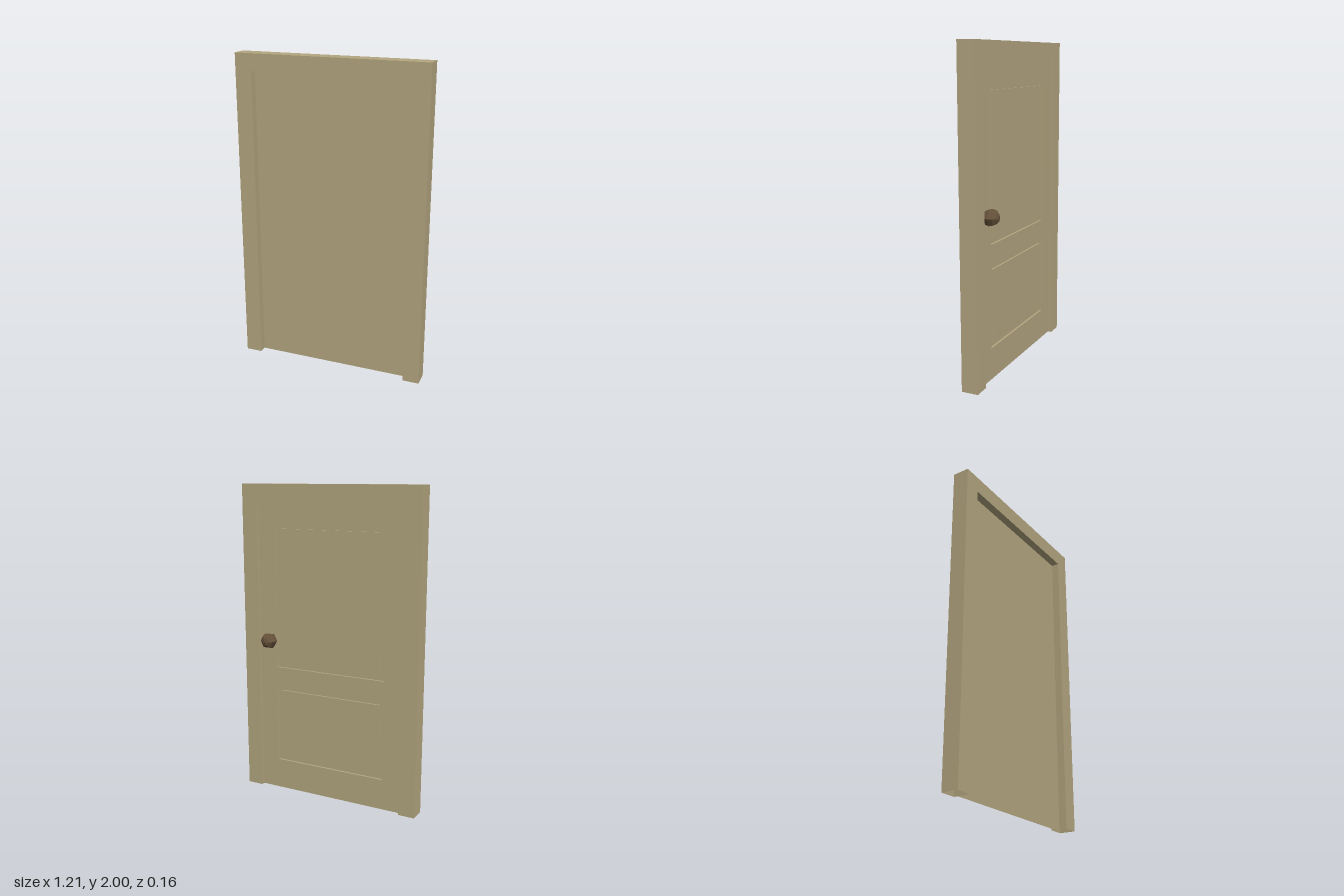
import * as THREE from 'three';

const wood = new THREE.MeshStandardMaterial({ color: 0xb4a680, side: THREE.DoubleSide, flatShading: true });
const knobMat = new THREE.MeshStandardMaterial({ color: 0x66523a, flatShading: true });

// Removes the faces lying on the floor, leaving the underside open
function openBottom(geometry) {
  const geo = geometry.index ? geometry.toNonIndexed() : geometry;
  const p = geo.attributes.position;
  const kept = [];
  for (let i = 0; i < p.count; i += 3) {
    const onFloor = [0, 1, 2].every((k) => Math.abs(p.getY(i + k)) < 1e-5);
    if (!onFloor) for (let k = 0; k < 3; k++) kept.push(p.getX(i + k), p.getY(i + k), p.getZ(i + k));
  }
  const out = new THREE.BufferGeometry();
  out.setAttribute('position', new THREE.Float32BufferAttribute(kept, 3));
  out.computeVertexNormals();
  return out;
}

const points = (list) => list.map(([x, y]) => new THREE.Vector2(x, y));
const rect = (w, y0, y1) => points([[-w, y0], [w, y0], [w, y1], [-w, y1]]);

function extrude(shape, z0, z1) {
  const geo = new THREE.ExtrudeGeometry(shape, { depth: z1 - z0, bevelEnabled: false });
  return geo.translate(0, 0, z0);
}

export function createModel() {
  const group = new THREE.Group();
  const add = (name, geometry, material = wood) => {
    const mesh = new THREE.Mesh(geometry, material);
    mesh.name = name;
    group.add(mesh);
    return mesh;
  };

  const frameW = 0.605, doorW = 0.5, doorTop = 1.895;
  const doorBack = 0, grooveZ = 0.014, doorFront = 0.03;

  // Frame: two jambs joined by the lintel
  const frame = new THREE.Shape(points([
    [-frameW, 0], [-doorW, 0], [-doorW, doorTop], [doorW, doorTop],
    [doorW, 0], [frameW, 0], [frameW, 2], [-frameW, 2],
  ]));
  add('doorFrame', openBottom(extrude(frame, -0.025, 0.08)));

  // Plain front of the door leaf
  add('doorFront', openBottom(extrude(new THREE.Shape(rect(doorW, 0, doorTop)), grooveZ, doorFront)));

  // Back of the leaf: openings with a raised field inside each, leaving a groove
  const back = new THREE.Shape(rect(doorW, 0, doorTop));
  const panelW = 0.378, groove = 0.028;
  const panels = [['upperPanel', 0.834, 1.755], ['lowerPanel', 0.197, 0.708]];
  for (const [name, y0, y1] of panels) {
    back.holes.push(new THREE.Path(rect(panelW, y0, y1)));
    const field = new THREE.Shape(rect(panelW - groove, y0 + groove, y1 - groove));
    add(name, extrude(field, doorBack + 0.002, grooveZ));
  }
  add('doorBack', openBottom(extrude(back, doorBack, grooveZ)));

  // Six-sided round knob, its axis pointing through the door
  const knob = new THREE.SphereGeometry(0.053, 6, 6).rotateX(-Math.PI / 2);
  add('doorKnob', knob, knobMat).position.set(0.425, 1.01, -0.026);

  return group;
}
